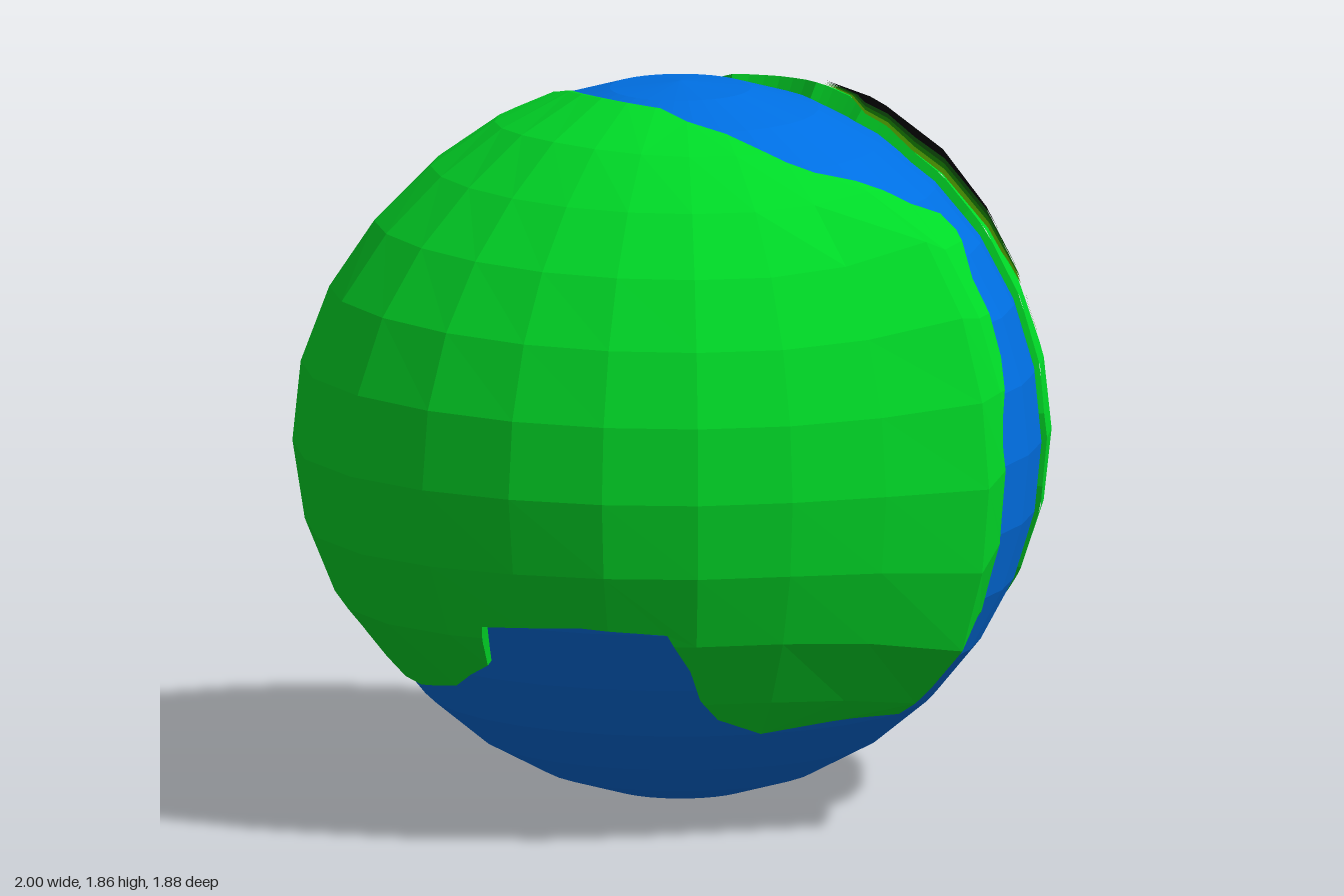
import * as THREE from 'three';

const R = 0.93;
const { smoothstep, clamp, degToRad } = THREE.MathUtils;
const mat = (name, color) => Object.assign(new THREE.MeshStandardMaterial({ color, flatShading: true }), { name });
const hump = (lon, lat, lon0, lat0, width) => {
  const dx = (lon - lon0) * Math.cos(degToRad((lat + lat0) / 2)), dy = lat - lat0;
  return Math.exp(-(dx * dx + dy * dy) / (width * width));
};

// point at longitude (0 = front, 90 = +x) and latitude in degrees
function polar(lon, lat, r) {
  const a = degToRad(lon), b = degToRad(lat);
  return new THREE.Vector3(Math.sin(a) * Math.cos(b), Math.sin(b), Math.cos(a) * Math.cos(b)).multiplyScalar(r);
}

// faceted ground: flat-sided cells between the corners of a coarse lattice
function ground(stepX, stepY, height, lift = 0) {
  const corner = (i, j) => polar(i * stepX, j * stepY, R + lift + height(i * stepX, j * stepY));
  return (lon, lat) => {
    const u = lon / stepX, v = lat / stepY, i = Math.floor(u), j = Math.floor(v);
    const low = corner(i, j).lerp(corner(i + 1, j), u - i);
    return low.lerp(corner(i, j + 1).lerp(corner(i + 1, j + 1), u - i), v - j);
  };
}

// keeps the part of a polygon where sign * (p[axis] - limit) >= 0
function clip(poly, axis, limit, sign) {
  const out = [];
  poly.forEach((p, k) => {
    const q = poly[(k + 1) % poly.length];
    const dp = sign * (p[axis] - limit), dq = sign * (q[axis] - limit);
    if (dp >= 0) out.push(p);
    if (dp * dq < 0) {
      const t = dp / (dp - dq);
      const c = [p[0] + (q[0] - p[0]) * t, p[1] + (q[1] - p[1]) * t];
      c[axis] = limit;
      out.push(c);
    }
  });
  return out;
}

// patch of ground inside a longitude/latitude outline, with optional side walls
function patch(name, outline, stepX, stepY, surface, material, walls) {
  const pos = [];
  const tri = (...pts) => pts.forEach((p) => pos.push(p.x, p.y, p.z));
  for (let x = -165; x < 200; x += stepX) {
    const x0 = Math.floor(x / stepX) * stepX;
    const strip = clip(clip(outline, 0, x0, 1), 0, x0 + stepX, -1);
    for (let y0 = -5 * stepY; y0 < 84; y0 += stepY) {
      const cell = clip(clip(strip, 1, y0, 1), 1, y0 + stepY, -1)
        .filter((p, k, a) => {
          const q = a[(k + 1) % a.length];
          return Math.hypot(p[0] - q[0], p[1] - q[1]) > 1e-6;
        })
        .map((p) => new THREE.Vector2(p[0], p[1]));
      if (cell.length < 3) continue;
      // nudge inwards so every point reads from its own cell
      const at = (p) => surface(
        clamp(p.x, x0 + 1e-6, x0 + stepX - 1e-6),
        clamp(p.y, y0 + 1e-6, y0 + stepY - 1e-6));
      for (const [i, j, k] of THREE.ShapeUtils.triangulateShape(cell, [])) {
        const a = cell[i], b = cell[j], c = cell[k];
        const area = (b.x - a.x) * (c.y - a.y) - (b.y - a.y) * (c.x - a.x);
        if (area > 1e-7) tri(at(a), at(b), at(c));
        else if (area < -1e-7) tri(at(a), at(c), at(b));
      }
    }
  }
  if (walls) outline.forEach((p, k) => {
    const q = outline[(k + 1) % outline.length], n = 6;
    for (let s = 0; s < n; s++) {
      const [a, b] = [s / n, (s + 1) / n].map((t) => [p[0] + (q[0] - p[0]) * t, p[1] + (q[1] - p[1]) * t]);
      const aTop = surface(...a), bTop = surface(...b), aLow = polar(...a, 0.915), bLow = polar(...b, 0.915);
      tri(aLow, bLow, bTop);
      tri(aLow, bTop, aTop);
    }
  });
  const geo = new THREE.BufferGeometry();
  geo.setAttribute('position', new THREE.Float32BufferAttribute(pos, 3));
  geo.computeVertexNormals();
  const mesh = new THREE.Mesh(geo, material);
  mesh.name = name;
  return mesh;
}

// outlines as [longitude, latitude], counter-clockwise from outside
const largeLand = [
  [-10, -40], [0, -44], [20, -41], [37, -39], [39, -33], [46, -24], [44, -10], [43, 4], [46, 10],
  [49.5, 17], [50.5, 30], [56, 38], [55, 41.5], [44, 45.5], [30, 51], [20, 55], [0, 66], [-28, 72],
  [-90, 72.5], [-124, 69], [-145, 55], [-145, 48], [-137, 43], [-139, 36], [-134, 30], [-128, 22],
  [-129, 13], [-124, 10], [-121, -1], [-115, -15], [-108, -29], [-100, -37], [-84, -39], [-67, -36],
  [-55, -30], [-53, -22], [-45, -21.5], [-35, -21], [-20, -22], [-16, -29], [-14, -35],
];
const smallLand = [
  [76, 50], [76, 38], [73, 20], [70.5, 4], [72, -8], [76, -22], [82, -31], [97, -35], [113, -37],
  [124, -33], [125, -24], [128, -21], [121, -11], [126, -8], [138, -4], [136, 4], [145, 13],
  [149, 22], [158, 26], [170, 28], [178, 35], [179, 42], [176, 48], [168, 56], [143, 65], [104, 65], [86, 60],
];
// scorched area; the last two numbers are how far each ring spreads from there
const scorch = [
  [86, 60, -2, 0], [83, 51, -2.5, 0], [87, 34, -3.2, -1.5], [94, 24, -2.5, -3], [101, 17, -1, -3.3],
  [107, 15, 0, -3.3], [115, 14.5, 1, -3.3], [123, 18, 3, -2.5], [127, 25, 4.2, -3], [137, 32, 3.5, -4],
  [152, 36, 2.5, -3], [147, 46, 7, -4.5], [168, 50, 2.5, -4], [168, 56, 0, 0], [143, 65, 0, 0], [104, 65, 0, 0],
];
const puddle = [[121.5, 25.5], [124, 24], [126, 25], [126, 27], [124.5, 26.5]];

export function createModel() {
  const planet = new THREE.Group();
  planet.name = 'planet';
  const ocean = mat('ocean blue', 0x006fe2);
  const grass = mat('land green', 0x00dc28);
  const rings = [
    mat('olive green', 0x3c7a00),
    mat('dark green', 0x0a5200),
    mat('very dark green', 0x063404),
    mat('scorched black', 0x020202),
  ];

  // ocean ball
  const ball = new THREE.Mesh(new THREE.SphereGeometry(R, 32, 16), ocean);
  ball.name = 'ocean';
  planet.add(ball);

  // large land: swollen on one side, with a cliff ridge on the other
  const largeHeight = (lon, lat) => {
    const rise = lon <= 30 ? (Math.max(0, lon) / 30) ** 2 : Math.max(0, (45 - lon) / 15);
    const fade = 1 - Math.max(smoothstep(lat, 30, 56), smoothstep(-lat, 26, 46));
    const swell = hump(lon, lat, -86, 6, 36) * smoothstep(lon, -140, -104) * (1 - smoothstep(-lat, 24, 37));
    return 0.015 + 0.07 * swell + 0.125 * rise * fade + 0.028 * hump(lon, lat, -62, 70, 15);
  };
  planet.add(patch('largeLand', largeLand, 15, 12, ground(15, 12, largeHeight), grass, true));

  // small land: bulging at the equator and the far rim, hollow in the scorched area
  const step = 11.25;
  const smallHeight = (lon, lat) => 0.008 + smoothstep(lon, 64, 92) * (0.012
    + 0.048 * hump(lon, lat, 100, 0, 28) * (1 - smoothstep(-lat, 20, 38))
    + 0.045 * hump(lon, lat, 102, 50, 22)
    + 0.075 * hump(lon, lat, 147, 38, 16)
    - 0.045 * hump(lon, lat, 120, 26, 14));
  planet.add(patch('smallLand', smallLand, step, step, ground(step, step, smallHeight), grass, true));

  // scorched area and the rings fading out around it
  rings.forEach((material, k) => {
    const outline = scorch.map(([x, y, dx, dy]) => [x + dx * (3 - k), y + dy * (3 - k)]);
    const surface = ground(step, step, smallHeight, 0.003 * (k + 1));
    planet.add(patch(k < 3 ? 'scorchRing' + (3 - k) : 'scorchCentre', outline, step, step, surface, material, false));
  });

  // speck of water in the hollow
  planet.add(patch('puddle', puddle, step, step, ground(step, step, smallHeight, 0.015), ocean, false));

  planet.position.set(0.01, R, -0.01);
  const model = new THREE.Group();
  model.name = 'model';
  model.add(planet);
  return model;
}
